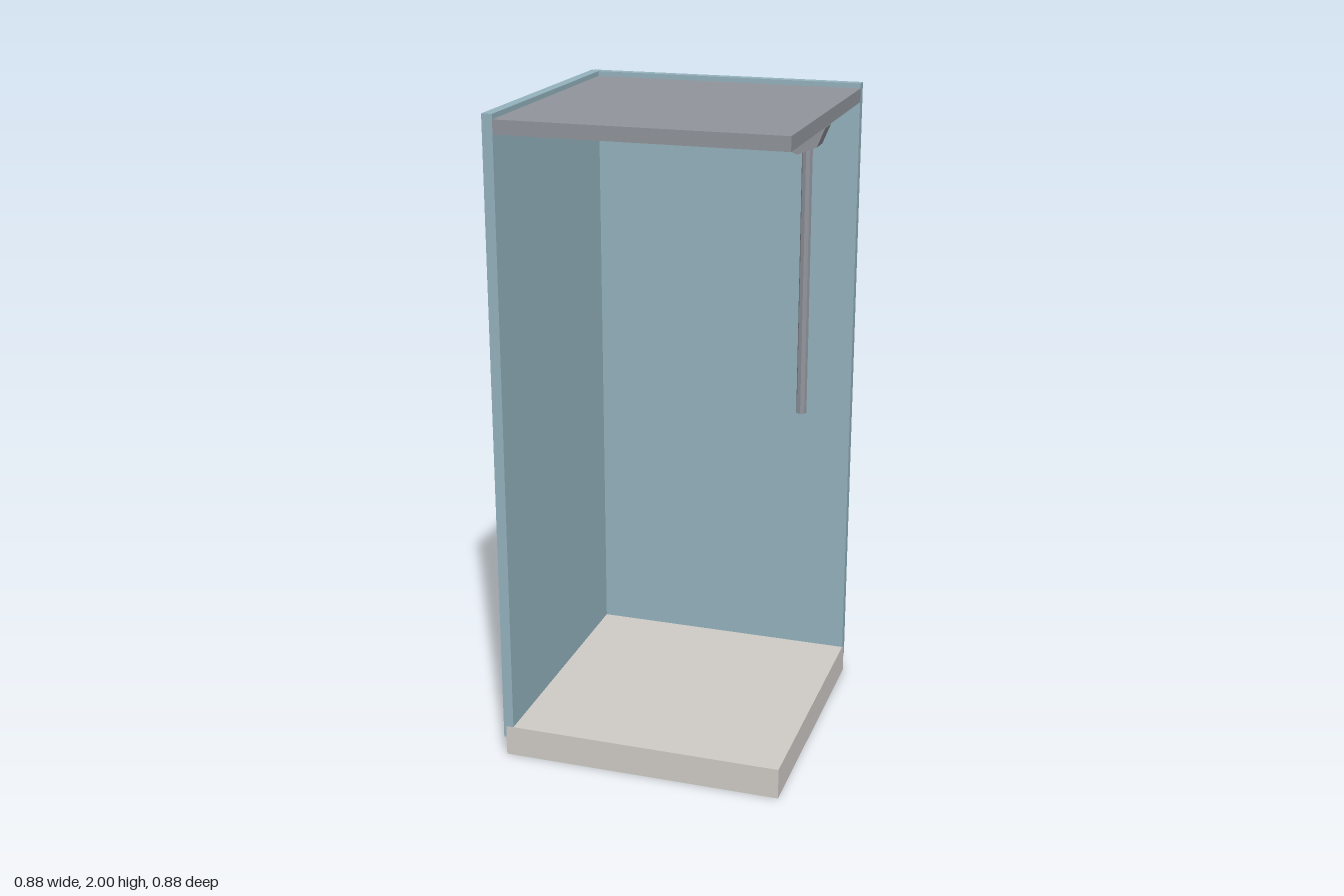
import * as THREE from 'three';

const wallBlue = new THREE.MeshStandardMaterial({ name: 'wallBlue', color: 0x94b2bd, flatShading: true });
const trayWhite = new THREE.MeshStandardMaterial({ name: 'trayWhite', color: 0xcfccc7, flatShading: true });
const metalGrey = new THREE.MeshStandardMaterial({ name: 'metalGrey', color: 0x90949b, flatShading: true });

// Box given by its minimum and maximum corners
function box(name, material, [x0, y0, z0], [x1, y1, z1]) {
  const mesh = new THREE.Mesh(new THREE.BoxGeometry(x1 - x0, y1 - y0, z1 - z0), material);
  mesh.position.set((x0 + x1) / 2, (y0 + y1) / 2, (z0 + z1) / 2);
  mesh.name = name;
  return mesh;
}

export function createModel() {
  const group = new THREE.Group();
  group.name = 'showerCubicle';

  const out = 0.442, inner = 0.41, edge = 0.434, front = 0.44;
  const trayTop = 0.097, lipBottom = 0.06, top = 2;

  // Floor tray and ceiling slab
  group.add(box('floorTray', trayWhite, [-edge, 0, -edge], [front, trayTop, front]));
  group.add(box('ceiling', metalGrey, [-inner, 1.943, -inner], [front, 1.985, front]));

  // Two walls with a thin lip lapping over the tray; the profile runs across the thickness
  const profile = new THREE.Shape([
    [-out, lipBottom], [-edge, lipBottom], [-edge, trayTop],
    [-inner, trayTop], [-inner, top], [-out, top],
  ].map(([x, y]) => new THREE.Vector2(x, y)));
  const sideGeometry = new THREE.ExtrudeGeometry(profile, { depth: front + edge, bevelEnabled: false });
  sideGeometry.translate(0, 0, -edge);

  const sideWall = new THREE.Mesh(sideGeometry, wallBlue);
  sideWall.name = 'sideWall';
  group.add(sideWall);

  // Back wall: the same panel turned a quarter, then shifted so it ends flush on the open side
  const backWall = new THREE.Mesh(sideGeometry, wallBlue);
  backWall.name = 'backWall';
  backWall.rotation.y = -Math.PI / 2;
  backWall.position.x = front - edge;
  group.add(backWall);

  // Octagonal shower head, facing forwards under the ceiling
  const head = new THREE.Mesh(new THREE.CylinderGeometry(0.085, 0.085, 0.074, 8), metalGrey);
  head.name = 'showerHead';
  head.rotation.x = Math.PI / 2;
  head.position.set(0.287, 1.888, -0.28);
  group.add(head);

  // Vertical riser pipe beside the back wall
  const pipe = new THREE.Mesh(new THREE.CylinderGeometry(0.017, 0.017, 0.953, 8), metalGrey);
  pipe.name = 'riserPipe';
  pipe.position.set(0.287, 1.413, -0.375);
  group.add(pipe);

  return group;
}
